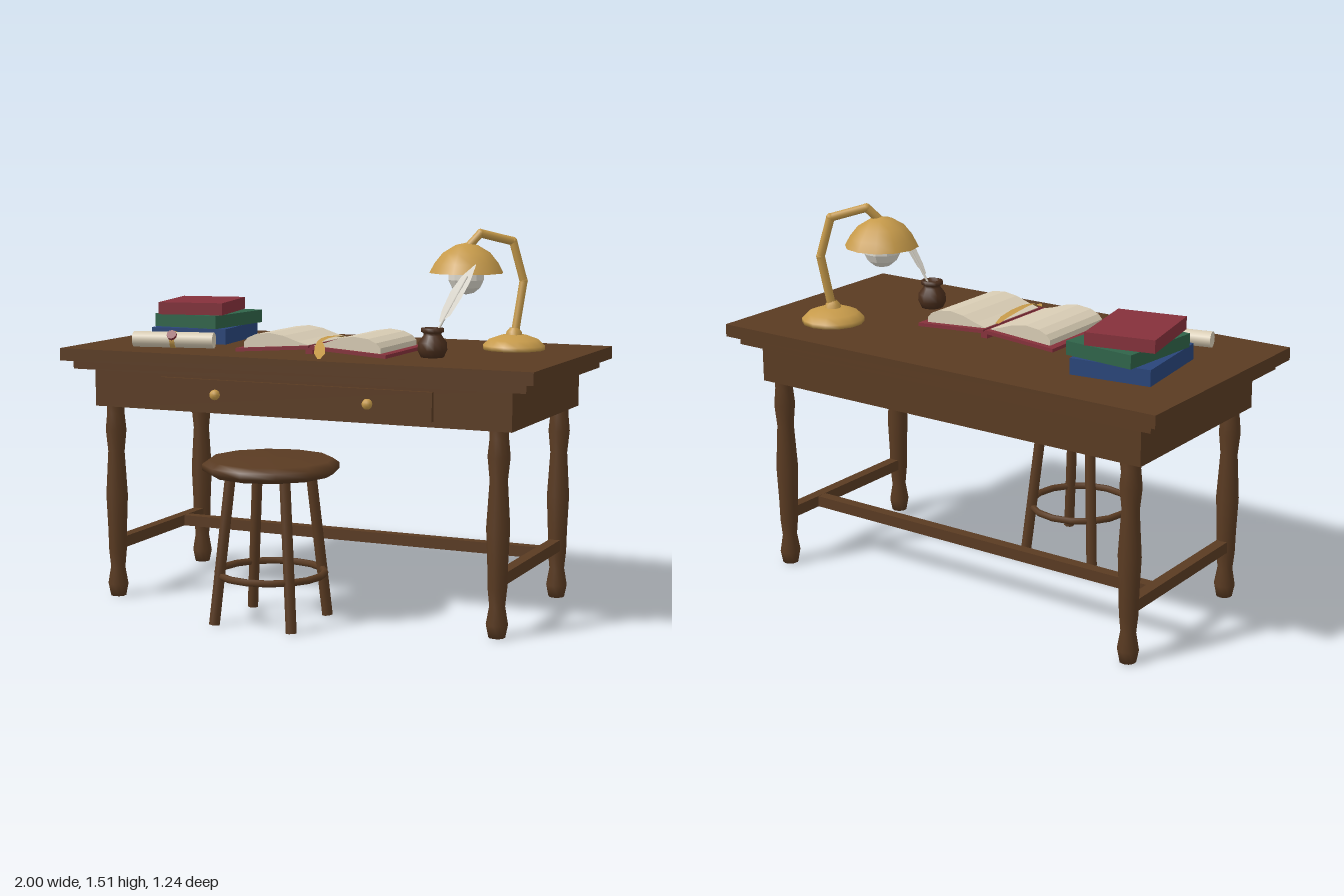
import * as THREE from 'three';

const mat = (name, color, side = THREE.FrontSide) => {
  const m = new THREE.MeshStandardMaterial({ color, side });
  m.name = name;
  return m;
};
const V = (a) => new THREE.Vector3(...a);

export function createModel() {
  const root = new THREE.Group();
  root.name = 'writingDesk';
  const wood = mat('wood', 0x5a3b22);
  const darkWood = mat('darkWood', 0x4a2e1c);
  const brass = mat('brass', 0xc69a4a, THREE.DoubleSide);
  const paper = mat('paper', 0xd8ccb4);
  const red = mat('redLeather', 0x85313b);
  const green = mat('greenCloth', 0x2f6349);
  const blue = mat('blueCloth', 0x29457a);
  const white = mat('white', 0xdedacf, THREE.DoubleSide);

  const add = (name, geo, material, pos = [0, 0, 0], parent = root) => {
    const m = new THREE.Mesh(geo, material);
    m.name = name;
    m.position.set(...pos);
    parent.add(m);
    return m;
  };
  const box = (name, size, material, pos) => add(name, new THREE.BoxGeometry(...size), material, pos);
  // Profile points are [radius, height], bottom to top
  const lathe = (name, pts, seg, material, pos) =>
    add(name, new THREE.LatheGeometry(pts.map((p) => new THREE.Vector2(...p)), seg), material, pos);
  // Round bar between two points
  const bar = (name, a, b, r0, r1, material, seg = 8) => {
    const d = V(b).sub(V(a));
    const m = add(name, new THREE.CylinderGeometry(r1, r0, d.length(), seg), material);
    m.position.copy(V(a).add(V(b)).multiplyScalar(0.5));
    m.quaternion.setFromUnitVectors(new THREE.Vector3(0, 1, 0), d.normalize());
    return m;
  };
  // Flat strip through centre points, each [x, y, z, halfWidth]
  const strip = (name, pts, side, material) => {
    const pos = [], idx = [];
    pts.forEach(([x, y, z, w], i) => {
      for (const s of [-1, 1]) pos.push(x + s * w * side[0], y + s * w * side[1], z + s * w * side[2]);
      if (i) {
        const k = 2 * i;
        idx.push(k - 2, k - 1, k, k - 1, k + 1, k);
      }
    });
    const g = new THREE.BufferGeometry();
    g.setAttribute('position', new THREE.Float32BufferAttribute(pos, 3));
    g.setIndex(idx);
    g.computeVertexNormals();
    return add(name, g, material);
  };

  // Table top, apron and drawer
  const cz = -0.118;
  box('tableTop', [2, 0.05, 1], wood, [0, 1.003, cz]);
  box('topMoulding', [1.92, 0.036, 0.924], wood, [0, 0.961, cz]);
  box('apron', [1.78, 0.155, 0.82], wood, [0, 0.867, cz]);
  box('drawerFront', [1.16, 0.112, 0.02], wood, [0, 0.868, 0.3]);
  for (const s of [-1, 1]) {
    add('drawerKnob', new THREE.SphereGeometry(0.021, 10, 8), brass, [s * 0.325, 0.868, 0.329]);
  }

  // Turned legs and stretchers
  const legProfile = [[0, 0], [0.032, 0], [0.042, 0.05], [0.03, 0.12], [0.037, 0.19], [0.039, 0.28],
    [0.045, 0.42], [0.034, 0.6], [0.043, 0.69], [0.036, 0.76], [0.036, 0.8]];
  for (const s of [-1, 1]) {
    for (const z of [0.246, -0.482]) lathe('tableLeg', legProfile, 10, wood, [s * 0.825, 0, z]);
    box('sideStretcher', [0.045, 0.046, 0.7], wood, [s * 0.825, 0.22, cz]);
  }
  box('longStretcher', [1.63, 0.045, 0.045], wood, [0, 0.22, -0.3]);

  // Stool
  const sx = -0.068, sz = 0.354;
  lathe('stoolSeat', [[0, 0.578], [0.235, 0.578], [0.266, 0.596], [0.266, 0.62], [0.24, 0.638], [0, 0.644]],
    12, wood, [sx, 0, sz]);
  for (const i of [-1, 1]) for (const k of [-1, 1]) {
    bar('stoolLeg', [sx + i * 0.165, 0, sz + k * 0.165], [sx + i * 0.115, 0.59, sz + k * 0.115], 0.022, 0.022, wood);
  }
  const ring = add('stoolRing', new THREE.TorusGeometry(0.21, 0.014, 6, 16), wood, [sx, 0.19, sz]);
  ring.rotation.x = Math.PI / 2;

  // Stack of closed books
  for (const [name, size, m, pos, turn] of [
    ['blueBook', [0.324, 0.063, 0.39], blue, [-0.636, 1.06, -0.18], 0.12],
    ['greenBook', [0.295, 0.053, 0.37], green, [-0.625, 1.118, -0.193], -0.08],
    ['redBook', [0.273, 0.05, 0.35], red, [-0.65, 1.17, -0.18], 0.2],
  ]) box(name, size, m, pos).rotation.y = turn;

  // Scroll with band and wax seal
  const scroll = new THREE.Group();
  scroll.name = 'scroll';
  scroll.position.set(-0.592, 1.06, 0.172);
  scroll.rotation.y = 0.22;
  root.add(scroll);
  for (const [name, r, len, m] of [['scrollRoll', 0.032, 0.335, paper], ['scrollBand', 0.035, 0.02, brass]]) {
    add(name, new THREE.CylinderGeometry(r, r, len, 12), m, [0, 0, 0], scroll).rotation.z = Math.PI / 2;
  }
  const seal = add('waxSeal', new THREE.CylinderGeometry(0.02, 0.02, 0.014, 10), red, [0, 0.021, 0.03], scroll);
  seal.rotation.x = 0.95;

  // Open book: sloping covers and domed page blocks
  const bx = 0.028;
  for (const s of [-1, 1]) {
    box('bookCover', [0.318, 0.014, 0.41], red, [bx + s * 0.163, 1.047, 0.005]).rotation.z = -s * 0.07;
    const pts = [[0.013, 1.055], [0.013, 1.066], [0.06, 1.078], [0.12, 1.098], [0.18, 1.107], [0.24, 1.1],
      [0.275, 1.085], [0.293, 1.066], [0.293, 1.04]];
    const shape = new THREE.Shape(pts.map(([d, y]) => new THREE.Vector2(s * d, y)));
    add('bookPages', new THREE.ExtrudeGeometry(shape, { depth: 0.368, bevelEnabled: false }), paper, [bx, 0, -0.175]);
  }
  box('bookSpine', [0.03, 0.024, 0.41], red, [bx, 1.045, 0.005]);
  strip('bookmark', [[0.03, 1.07, -0.11, 0.008], [0.037, 1.082, -0.05, 0.016], [0.046, 1.088, 0.04, 0.018],
    [0.054, 1.088, 0.12, 0.014], [0.06, 1.082, 0.18, 0.01], [0.076, 1.065, 0.215, 0.02],
    [0.1, 1.045, 0.27, 0.022], [0.132, 1.033, 0.345, 0.006]], [0.97, 0, -0.2], brass);

  // Inkwell and quill
  lathe('inkwell', [[0, 1.028], [0.045, 1.028], [0.058, 1.055], [0.056, 1.085], [0.036, 1.112], [0.035, 1.122],
    [0.045, 1.126], [0.045, 1.14], [0.03, 1.142], [0.028, 1.125], [0, 1.125]], 12, darkWood, [0.485, 0, 0.066]);
  bar('quillShaft', [0.49, 1.1, 0.07], [0.61, 1.34, 0.025], 0.005, 0.004, white, 6);
  strip('quillFeather', [[0.512, 1.165, 0.06, 0.004], [0.535, 1.2, 0.053, 0.022], [0.57, 1.27, 0.04, 0.028],
    [0.605, 1.33, 0.027, 0.022], [0.64, 1.385, 0.016, 0.002]], [0.86, -0.45, 0.22], white);

  // Desk lamp
  lathe('lampBase', [[0, 1.028], [0.125, 1.028], [0.125, 1.045], [0.1, 1.068], [0.05, 1.086], [0, 1.09]],
    14, brass, [0.676, 0, -0.338]);
  const arm = [[0.676, 1.07, -0.338], [0.7, 1.3, -0.375], [0.662, 1.458, -0.352], [0.56, 1.492, -0.252],
    [0.523, 1.44, -0.215]];
  arm.slice(1).forEach((p, i) => {
    bar('lampArm', arm[i], p, 0.017, 0.017, brass);
    add('lampJoint', new THREE.SphereGeometry(0.018, 8, 6), brass, p);
  });
  lathe('lampStemCollar', [[0.036, 1.075], [0.03, 1.1], [0.017, 1.115]], 10, brass, [0.676, 0, -0.338]);
  lathe('lampShade', [[0.148, 1.337], [0.128, 1.375], [0.095, 1.416], [0.045, 1.446], [0, 1.456]],
    12, brass, [0.516, 0, -0.215]);
  const bulb = new THREE.SphereGeometry(0.075, 10, 7).toNonIndexed();
  bulb.computeVertexNormals();
  add('lampBulb', bulb, white, [0.516, 1.326, -0.215]);

  return root;
}
